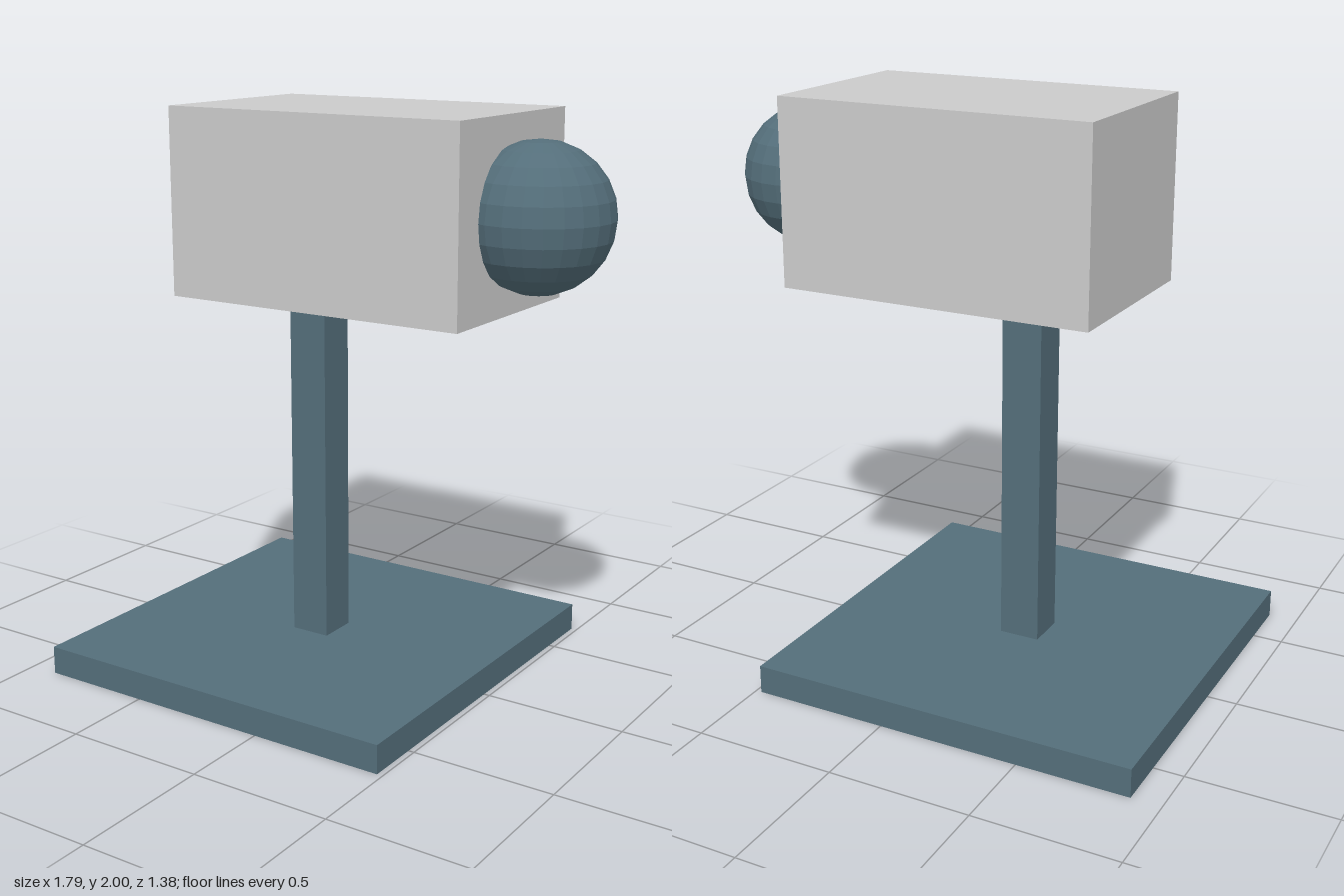
import * as THREE from 'three';

export function createModel() {
  const model = new THREE.Group();
  const blue = new THREE.MeshStandardMaterial({ color: 0x546e7a, flatShading: true });
  const grey = new THREE.MeshStandardMaterial({ color: 0xcccccc, flatShading: true });

  const add = (name, geometry, material, x, y) => {
    const mesh = new THREE.Mesh(geometry, material);
    mesh.name = name;
    mesh.position.set(x, y, 0);
    model.add(mesh);
  };

  const postX = -0.208;

  // Square foot plate and the post standing on it
  add('base', new THREE.BoxGeometry(1.375, 0.1, 1.375), blue, postX, 0.05);
  add('post', new THREE.BoxGeometry(0.144, 1.255, 0.144), blue, postX, 0.7275);

  // Box housing on top of the post
  add('housing', new THREE.BoxGeometry(1.12, 0.645, 0.698), grey, -0.01, 1.6775);

  // Faceted ball sunk partly into the end of the housing
  add('ball', new THREE.SphereGeometry(0.248, 24, 12), blue, 0.642, 1.6775);

  return model;
}
